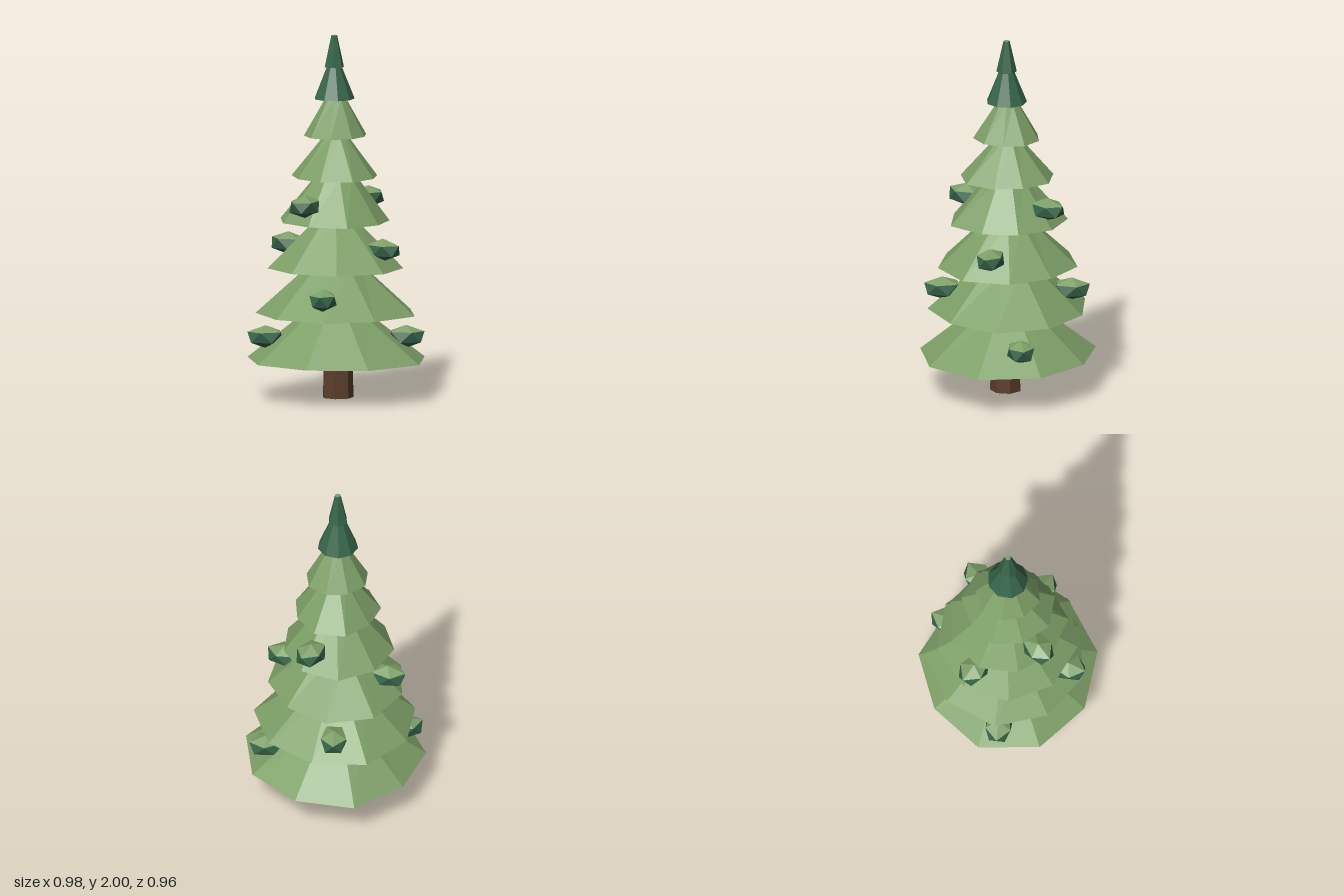
import * as THREE from 'three';

const paint = (color) => new THREE.MeshStandardMaterial({ color, flatShading: true });
const rad = THREE.MathUtils.degToRad;

// Branch tiers: bottom y, top y, top radius, angle of first corner, corner radii
const TIERS = [
  [0.21, 0.47, 0.165, 20, [0.522, 0.502, 0.484, 0.495, 0.49, 0.465, 0.492, 0.473, 0.495]],
  [0.465, 0.725, 0.15, 10, [0.458, 0.42, 0.44, 0.43, 0.44, 0.437, 0.455, 0.43, 0.435]],
  [0.72, 0.98, 0.115, 0, [0.375, 0.4, 0.39, 0.38, 0.38, 0.378, 0.394, 0.386, 0.36]],
  [0.975, 1.225, 0.11, -10, [0.294, 0.3, 0.335, 0.31, 0.31, 0.32, 0.32, 0.33, 0.31]],
  [1.22, 1.45, 0.06, -20, [0.23, 0.235, 0.265, 0.26, 0.24, 0.245, 0.23, 0.255, 0.255]],
  [1.445, 1.655, 0.055, -30, [0.177, 0.165, 0.175, 0.19, 0.18, 0.175, 0.18, 0.175, 0.18]],
];
// Darker top
const TIPS = [
  [1.65, 1.83, 0.04, 30, Array(9).fill(0.112)],
  [1.825, 2.0, 0.017, 30, Array(6).fill(0.056)],
];
// Foliage tufts: centre height, distance from the axis, angle from +x towards +z
const TUFTS = [
  [0.335, 0.385, -9], [0.335, 0.385, 168],
  [0.582, 0.357, 92], [0.582, 0.35, -86],
  [0.832, 0.295, 20], [0.832, 0.295, 199],
  [1.08, 0.262, 121], [1.08, 0.258, -56],
];

// Frustum whose bottom corners each have their own radius
function tierGeometry([y0, y1, topRadius, phase, radii]) {
  const n = radii.length, step = (Math.PI * 2) / n, start = rad(phase);
  const geo = new THREE.CylinderGeometry(topRadius, 1, y1 - y0, n, 1);
  geo.rotateY(Math.PI / 2 - start);
  const p = geo.attributes.position;
  for (let i = 0; i < p.count; i++) {
    if (p.getY(i) > 0) continue;
    const k = Math.round((Math.atan2(p.getZ(i), p.getX(i)) - start) / step);
    const r = radii[((k % n) + n) % n];
    p.setXYZ(i, p.getX(i) * r, p.getY(i), p.getZ(i) * r);
  }
  geo.translate(0, (y0 + y1) / 2, 0);
  geo.computeVertexNormals();
  return geo;
}

// Flattened icosahedron standing on a corner, five top faces in material 0
function tuftGeometry() {
  const geo = new THREE.IcosahedronGeometry(1, 0);
  geo.rotateX(-Math.atan((1 + Math.sqrt(5)) / 2));
  geo.rotateY(Math.PI / 2);
  const p = geo.attributes.position;
  for (let i = 0; i < p.count; i += 3) {
    const y = (p.getY(i) + p.getY(i + 1) + p.getY(i + 2)) / 3;
    geo.addGroup(i, 3, y > 0.5 ? 0 : 1);
  }
  geo.scale(0.112, 0.063, 0.082);
  geo.computeVertexNormals();
  return geo;
}

export function createModel() {
  const model = new THREE.Group();
  model.name = 'pineTree';
  const leaf = paint(0x7d9f67), dark = paint(0x37654a), bark = paint(0x5c3d2b);

  const add = (name, geo, material) => {
    const mesh = new THREE.Mesh(geo, material);
    mesh.name = name;
    model.add(mesh);
    return mesh;
  };

  // Trunk
  const trunk = add('trunk', new THREE.CylinderGeometry(0.08, 0.087, 0.26, 7), bark);
  trunk.position.set(0.012, 0.13, 0.01);

  // Branch tiers: light above, dark underneath
  TIERS.forEach((t, i) => add(`branchTier${i + 1}`, tierGeometry(t), [leaf, leaf, dark]));

  // Treetop
  TIPS.forEach((t, i) => {
    add(`treetop${i + 1}`, tierGeometry(t), [dark, i ? leaf : dark, dark]).position.set(-0.008, 0, 0.006);
  });

  // Tufts pointing outwards
  const tuft = tuftGeometry();
  TUFTS.forEach(([y, r, deg], i) => {
    const a = rad(deg), mesh = add(`foliageTuft${i + 1}`, tuft, [leaf, dark]);
    mesh.position.set(Math.cos(a) * r, y, Math.sin(a) * r);
    mesh.rotation.y = -a;
  });
  return model;
}
